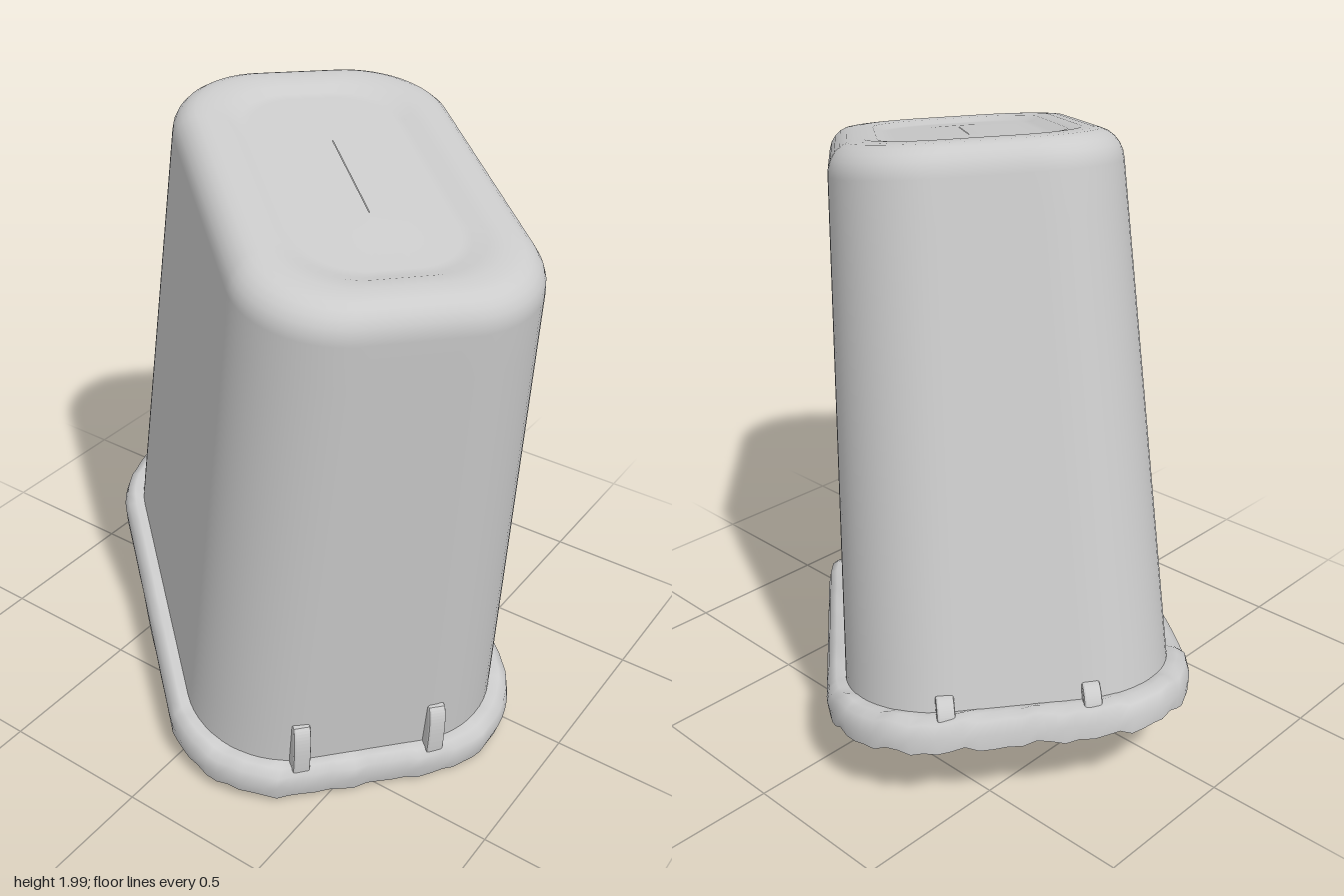
import * as THREE from 'three';

const CORNER = 14; // segments per rounded corner
const SIDE = 10; // segments per straight side

// Rounded-rectangle outline, running from +x towards +z
function outline(L, W, r) {
  r = Math.min(r, L, W);
  const pts = [];
  const centres = [[1, 1], [-1, 1], [-1, -1], [1, -1]];
  const corner = (k, t) => {
    const [sx, sz] = centres[k % 4];
    const a = (k + t) * Math.PI / 2;
    return [sx * (L - r) + r * Math.cos(a), sz * (W - r) + r * Math.sin(a)];
  };
  for (let k = 0; k < 4; k++) {
    for (let i = 0; i <= CORNER; i++) pts.push(corner(k, i / CORNER));
    const a = corner(k, 1), b = corner(k + 1, 0);
    for (let i = 1; i < SIDE; i++) {
      const t = i / SIDE;
      pts.push([a[0] + (b[0] - a[0]) * t, a[1] + (b[1] - a[1]) * t]);
    }
  }
  return pts;
}

// Skin over rings of [half length, half width, corner radius, height, unevenness]
function loft(rings) {
  const pos = [], index = [];
  let n = 0;
  rings.forEach(([L, W, r, h, rough = 0]) => {
    const pts = outline(L, W, r);
    n = pts.length;
    pts.forEach(([x, z], i) => {
      const w = rough * (Math.sin(i * 2.3) + Math.sin(i * 5.1 + 1)) / 2;
      pos.push(x, h + w, z);
    });
  });
  for (let j = 0; j < rings.length - 1; j++) {
    for (let i = 0; i < n; i++) {
      const k = (i + 1) % n;
      const a = j * n + i, b = a + n, c = j * n + k, d = c + n;
      index.push(a, b, c, c, b, d);
    }
  }
  const g = new THREE.BufferGeometry();
  g.setAttribute('position', new THREE.Float32BufferAttribute(pos, 3));
  g.setIndex(index);
  g.computeVertexNormals();
  return g;
}

export function createModel() {
  const group = new THREE.Group();
  const mat = new THREE.MeshStandardMaterial({ color: 0xcccccc, roughness: 0.9, side: THREE.DoubleSide });
  const bin = new THREE.Group();
  bin.name = 'upturnedBin';
  group.add(bin);
  const add = (name, geometry) => {
    const m = new THREE.Mesh(geometry, mat);
    m.name = name;
    bin.add(m);
    return m;
  };

  // Tapered walls, rounded shoulder and slightly sunken base panel
  const rings = [];
  const bottom = [0.775, 0.515, 0.32, 0.09], top = [0.685, 0.44, 0.29, 1.66];
  for (let i = 0; i <= 12; i++) {
    rings.push(bottom.map((v, k) => v + (top[k] - v) * i / 12));
  }
  for (let i = 1; i <= 6; i++) {
    const a = i / 6 * Math.PI / 2, inset = 0.085 * (1 - Math.cos(a));
    rings.push([0.685 - inset, 0.44 - inset, 0.29 - inset * 0.6, 1.66 + 0.095 * Math.sin(a)]);
  }
  [[0.57, 0.325, 0.22, 1.757], [0.53, 0.285, 0.2, 1.752], [0.5, 0.255, 0.19, 1.738],
    [0.47, 0.225, 0.17, 1.736], [0.3, 0.1, 0.08, 1.74], [0.2, 0.001, 0.001, 1.741]]
    .forEach(r => rings.push(r));
  add('binBody', loft(rings));

  // Flared lip around the open mouth, with a ragged edge
  add('rimLip', loft([
    [0.835, 0.575, 0.36, -0.005, 0.012],
    [0.84, 0.58, 0.36, 0.04],
    [0.83, 0.57, 0.355, 0.085, 0.01],
    [0.805, 0.545, 0.34, 0.1, 0.008],
    [0.772, 0.512, 0.32, 0.095],
  ]));

  // Small gussets between lip and wall, two on each short end
  for (const [end, height] of [[1, 0.16], [-1, 0.05]]) {
    for (const z of [-0.22, 0.22]) {
      const s = new THREE.Shape();
      s.moveTo(-0.03, 0);
      s.lineTo(0.045, 0);
      s.quadraticCurveTo(0.035, height * 0.85, 0.005, height);
      s.lineTo(-0.03, height);
      const g = new THREE.ExtrudeGeometry(s, {
        depth: 0.04, bevelEnabled: true, bevelSize: 0.008, bevelThickness: 0.008, bevelSegments: 2,
      });
      g.translate(0, 0, -0.02);
      const rib = add('rimGusset', g);
      rib.position.set(end * 0.767, 0.09, z);
      if (end < 0) rib.rotation.y = Math.PI;
    }
  }

  // Turn the bin diagonally and lean it along its length
  const u = new THREE.Vector3(0.766, 0, 0.643), v = new THREE.Vector3(-0.643, 0, 0.766);
  const Y = new THREE.Vector3(0, 1, 0).addScaledVector(u, 0.16).addScaledVector(v, -0.04).normalize();
  const X = u.clone().addScaledVector(Y, -u.dot(Y)).normalize();
  const Z = X.clone().cross(Y);
  bin.quaternion.setFromRotationMatrix(new THREE.Matrix4().makeBasis(X, Y, Z));
  bin.position.set(-0.04, 0.15, 0);
  return group;
}
